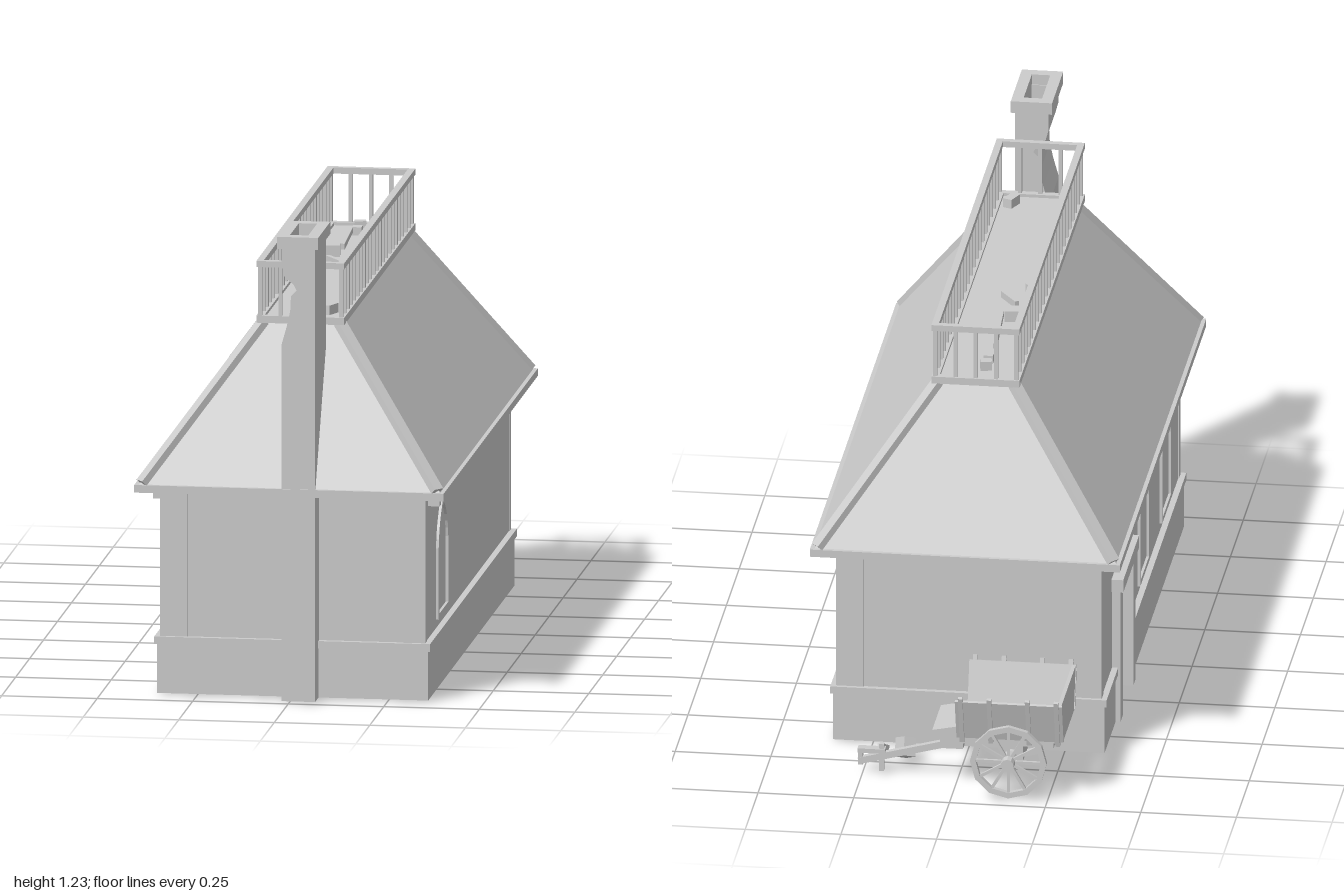
import * as THREE from 'three';

const mat = new THREE.MeshStandardMaterial({ color: 0xcccccc, flatShading: true, side: THREE.DoubleSide });

export function createModel() {
  const root = new THREE.Group();
  root.name = 'hippedHouse';

  const add = (name, geo, parent = root) => {
    const m = new THREE.Mesh(geo, mat);
    m.name = name;
    parent.add(m);
    return m;
  };
  const group = (name) => {
    const g = new THREE.Group();
    g.name = name;
    root.add(g);
    return g;
  };
  // Box given by its limits on each axis
  const box = (name, x0, x1, y0, y1, z0, z1, parent) => {
    const g = new THREE.BoxGeometry(x1 - x0, y1 - y0, z1 - z0);
    g.translate((x0 + x1) / 2, (y0 + y1) / 2, (z0 + z1) / 2);
    return add(name, g, parent);
  };
  // Square bar between two points
  const bar = (name, a, b, w, h, parent) => {
    const p = new THREE.Vector3(...a), q = new THREE.Vector3(...b);
    const m = add(name, new THREE.BoxGeometry(w, h, p.distanceTo(q)), parent);
    m.position.copy(p).add(q).multiplyScalar(0.5);
    m.lookAt(q);
    return m;
  };
  const poly = (pts) => new THREE.Shape(pts.map(([x, y]) => new THREE.Vector2(x, y)));
  const extrude = (shape, depth) => new THREE.ExtrudeGeometry(shape, { depth, bevelEnabled: false, curveSegments: 6 });
  // Extrude a (z, y) outline so that it lies between x0 and x1
  const sideways = (shape, x0, x1) => extrude(shape, x1 - x0).rotateY(-Math.PI / 2).translate(x1, 0, 0);
  // Flat rectangular ring: outer limits, border width, height range
  const ring = (name, x0, x1, z0, z1, border, y0, y1, parent) => {
    const rect = (b) => [[x0 + b, -z0 - b], [x1 - b, -z0 - b], [x1 - b, -z1 + b], [x0 + b, -z1 + b]];
    const s = poly(rect(0));
    s.holes.push(poly(rect(border)));
    return add(name, extrude(s, y1 - y0).rotateX(-Math.PI / 2).translate(0, y0, 0), parent);
  };

  // Walls, open underneath, with a doorway in the right side
  const walls = group('walls');
  const doorZ0 = -0.37, doorZ1 = -0.15, zBack = -0.615, zFront = 0.915;
  box('frontWall', -0.345, 0.345, 0, 0.545, zFront - 0.02, zFront, walls);
  box('backWall', -0.345, 0.345, 0, 0.545, zBack, zBack + 0.02, walls);
  box('leftWall', 0.325, 0.345, 0, 0.545, zBack, zFront, walls);
  add('rightWall', sideways(poly([[zBack, 0], [doorZ0, 0], [doorZ0, 0.365], [doorZ1, 0.365],
    [doorZ1, 0], [zFront, 0], [zFront, 0.545], [zBack, 0.545]]), -0.345, -0.325), walls);
  for (const s of [-1, 1]) for (const z of [zBack + 0.011, zFront - 0.011])
    box('cornerPilaster', s * 0.311 - 0.036, s * 0.311 + 0.036, 0.14, 0.545, z - 0.015, z + 0.015, walls);

  // Plinth with a ledge on top, interrupted by the doorway
  const plinth = group('plinth');
  const course = (name, x, y0, y1, e) => {
    const zb = zBack - e, zf = zFront + e;
    box(name, -x, x, y0, y1, zf - 0.03, zf, plinth);
    box(name, -x, x, y0, y1, zb, zb + 0.03, plinth);
    box(name, x - 0.03, x, y0, y1, zb, zf, plinth);
    box(name, -x, -x + 0.03, y0, y1, zb, doorZ0, plinth);
    box(name, -x, -x + 0.03, y0, y1, doorZ1, zf, plinth);
  };
  course('plinthWall', 0.355, 0, 0.13, 0.008);
  course('plinthLedge', 0.361, 0.13, 0.15, 0.014);

  // Doorway
  const door = group('door');
  box('doorPanel', -0.335, -0.325, 0, 0.37, doorZ0, doorZ1, door);
  box('doorJamb', -0.368, -0.29, 0, 0.365, doorZ0 - 0.035, doorZ0 + 0.01, door);
  box('doorJamb', -0.368, -0.29, 0, 0.365, doorZ1 - 0.01, doorZ1 + 0.035, door);
  box('doorLintel', -0.376, -0.29, 0.365, 0.4, doorZ0 - 0.045, doorZ1 + 0.045, door);

  // Pointed-arch window frames
  const arch = (s, zc, w, y0, top) => {
    s.moveTo(zc - w, y0);
    s.lineTo(zc + w, y0);
    s.lineTo(zc + w, 0.36);
    s.quadraticCurveTo(zc + w - 0.006, 0.43, zc, top);
    s.quadraticCurveTo(zc - w + 0.006, 0.43, zc - w, 0.36);
    s.closePath();
    return s;
  };
  for (const [side, z] of [[1, 0.62], [-1, 0.62], [-1, 0.19]]) {
    const frame = arch(new THREE.Shape(), z, 0.093, 0.172, 0.485);
    frame.holes.push(arch(new THREE.Path(), z, 0.078, 0.186, 0.466));
    add('windowFrame', sideways(frame, side * 0.333 - 0.019, side * 0.333 + 0.019));
  }

  // Eaves and the beam ends below them
  box('eaves', -0.405, 0.405, 0.54, 0.56, -0.7, 0.988);
  for (let i = 0; i < 11; i++) for (const s of [-1, 1])
    box('beamEnd', s * 0.315 - 0.06, s * 0.315 + 0.06, 0.5, 0.541, 0.834 - i * 0.139, 0.857 - i * 0.139);

  // Hipped roof: a box whose top corners are drawn in
  const low = { x: 0.395, y: 0.559, zb: -0.69, zf: 0.978 };
  const high = { x: 0.1, y: 0.957, zb: -0.475, zf: 0.757 };
  const roofGeo = new THREE.BoxGeometry(2, 2, 2);
  const pos = roofGeo.attributes.position;
  for (let i = 0; i < pos.count; i++) {
    const r = pos.getY(i) > 0 ? high : low;
    pos.setXYZ(i, pos.getX(i) * r.x, r.y, pos.getZ(i) > 0 ? r.zf : r.zb);
  }
  roofGeo.computeVertexNormals();
  add('roof', roofGeo);
  for (const s of [-1, 1]) for (const e of ['zb', 'zf'])
    bar('hipRidge', [s * (low.x - 0.008), low.y + 0.006, low[e]], [s * high.x, high.y, high[e]], 0.03, 0.018);

  // Roof walk with railing
  const walk = group('roofWalk');
  const wz0 = -0.493, wz1 = 0.785, wx = 0.115;
  box('walkFloor', -wx, wx, 0.957, 0.968, wz0, wz1, walk);
  ring('walkKerb', -wx, wx, wz0, wz1, 0.02, 0.957, 0.976, walk);
  ring('handRail', -wx, wx, wz0, wz1, 0.018, 1.104, 1.12, walk);
  const baluster = (x, z) => box('baluster', x - 0.005, x + 0.005, 0.97, 1.106, z - 0.005, z + 0.005, walk);
  for (let i = 0; i <= 22; i++) for (const s of [-1, 1])
    baluster(s * 0.106, wz0 + 0.009 + (i / 22) * (wz1 - wz0 - 0.018));
  for (const x of [-0.053, 0, 0.053]) for (const z of [wz0 + 0.009, wz1 - 0.009]) baluster(x, z);

  // Loose bricks and sticks: x, y, z, width, height, length, turn
  for (const [x, y, z, w, h, l, t] of [
    [-0.017, 0.983, -0.41, 0.03, 0.025, 0.025, 0.2], [-0.017, 0.98, -0.355, 0.025, 0.022, 0.03, 0],
    [-0.02, 0.992, -0.19, 0.01, 0.015, 0.23, 0.05], [-0.04, 0.985, -0.065, 0.04, 0.03, 0.04, 0.1],
    [-0.018, 0.978, 0.05, 0.012, 0.018, 0.08, 0.6], [-0.07, 0.983, 0.115, 0.03, 0.025, 0.03, 0.6],
    [0.065, 0.983, 0.7, 0.025, 0.025, 0.045, -0.4], [0.15, 0.035, -0.735, 0.035, 0.05, 0.05, 0.6],
    [0.21, 0.02, -0.725, 0.01, 0.03, 0.045, -0.4]]) {
    const m = add('debris', new THREE.BoxGeometry(w, h, l));
    m.position.set(x, y, z);
    m.rotation.set(z < -0.7 ? 0.5 : 0, t, 0);
  }

  // Chimney with a broken right edge and an open cap
  const chimney = group('chimney');
  add('chimneyStack', extrude(poly([[-0.02, 0], [0.068, 0], [0.068, 1.15], [-0.02, 1.15], [-0.012, 1.12],
    [0.012, 1.1], [0.02, 1.085], [0.005, 1.07], [0.003, 1.03], [-0.006, 0.99], [-0.02, 0.94]]), 0.195)
    .translate(0, 0, 0.79), chimney);
  ring('chimneyFlue', -0.02, 0.068, 0.79, 0.985, 0.02, 1.15, 1.2, chimney);
  ring('chimneyCap', -0.03, 0.078, 0.78, 0.998, 0.03, 1.196, 1.228, chimney);

  // Two-wheeled cart
  const cart = group('cart');
  const cz = -0.825, cx = -0.15;
  box('cartBed', -0.27, -0.01, 0.15, 0.162, cz - 0.11, cz + 0.11, cart);
  for (const s of [-1, 1]) {
    // Flared side boards with their posts
    bar('cartSide', [cx, 0.155, cz + s * 0.108], [cx, 0.268, cz + s * 0.143], 0.28, 0.008, cart);
    for (const x of [-0.275, -0.2, -0.1, -0.025])
      bar('cartPost', [x, 0.145, cz + s * 0.112], [x, 0.28, cz + s * 0.15], 0.012, 0.01, cart);
    box('cartRunner', -0.26, 0.02, 0.125, 0.15, cz + s * 0.07 - 0.012, cz + s * 0.07 + 0.012, cart);

    // Spoked wheel
    const wheel = new THREE.Group();
    wheel.name = 'wheel';
    wheel.position.set(cx, 0.105, cz + s * 0.142);
    cart.add(wheel);
    const rim = new THREE.Shape().absarc(0, 0, 0.1, 0, Math.PI * 2);
    rim.holes.push(new THREE.Path().absarc(0, 0, 0.085, 0, Math.PI * 2));
    add('wheelRim', extrude(rim, 0.014).translate(0, 0, -0.007), wheel);
    add('wheelHub', new THREE.CylinderGeometry(0.017, 0.02, 0.055, 10).rotateX(s * Math.PI / 2), wheel);
    for (let i = 0; i < 12; i++)
      add('spoke', new THREE.BoxGeometry(0.008, 0.08, 0.008).translate(0, 0.05, 0).rotateZ(i * Math.PI / 6), wheel);
  }
  add('cartTailboard', sideways(poly([[cz - 0.108, 0.155], [cz + 0.108, 0.155], [cz + 0.143, 0.268],
    [cz - 0.143, 0.268]]), -0.288, -0.278), cart);
  box('axle', cx - 0.01, cx + 0.01, 0.095, 0.115, cz - 0.165, cz + 0.165, cart);
  box('axleBlock', cx - 0.03, cx + 0.03, 0.085, 0.15, cz - 0.08, cz + 0.08, cart);
  bar('cartSeat', [-0.02, 0.165, cz], [0.055, 0.15, cz], 0.17, 0.02, cart);
  box('cartFootBlock', -0.02, 0.04, 0.1, 0.15, cz - 0.06, cz + 0.06, cart);
  bar('shaft', [-0.1, 0.125, cz], [0.26, 0.03, cz], 0.016, 0.018, cart);
  bar('shaftPeg', [0.2, 0.005, cz], [0.2, 0.08, cz], 0.012, 0.014, cart);
  box('shaftHandle', 0.19, 0.262, 0.055, 0.067, cz - 0.012, cz + 0.012, cart);
  bar('shaftPeg', [0.255, 0.02, cz], [0.255, 0.066, cz], 0.012, 0.014, cart);

  return root;
}
